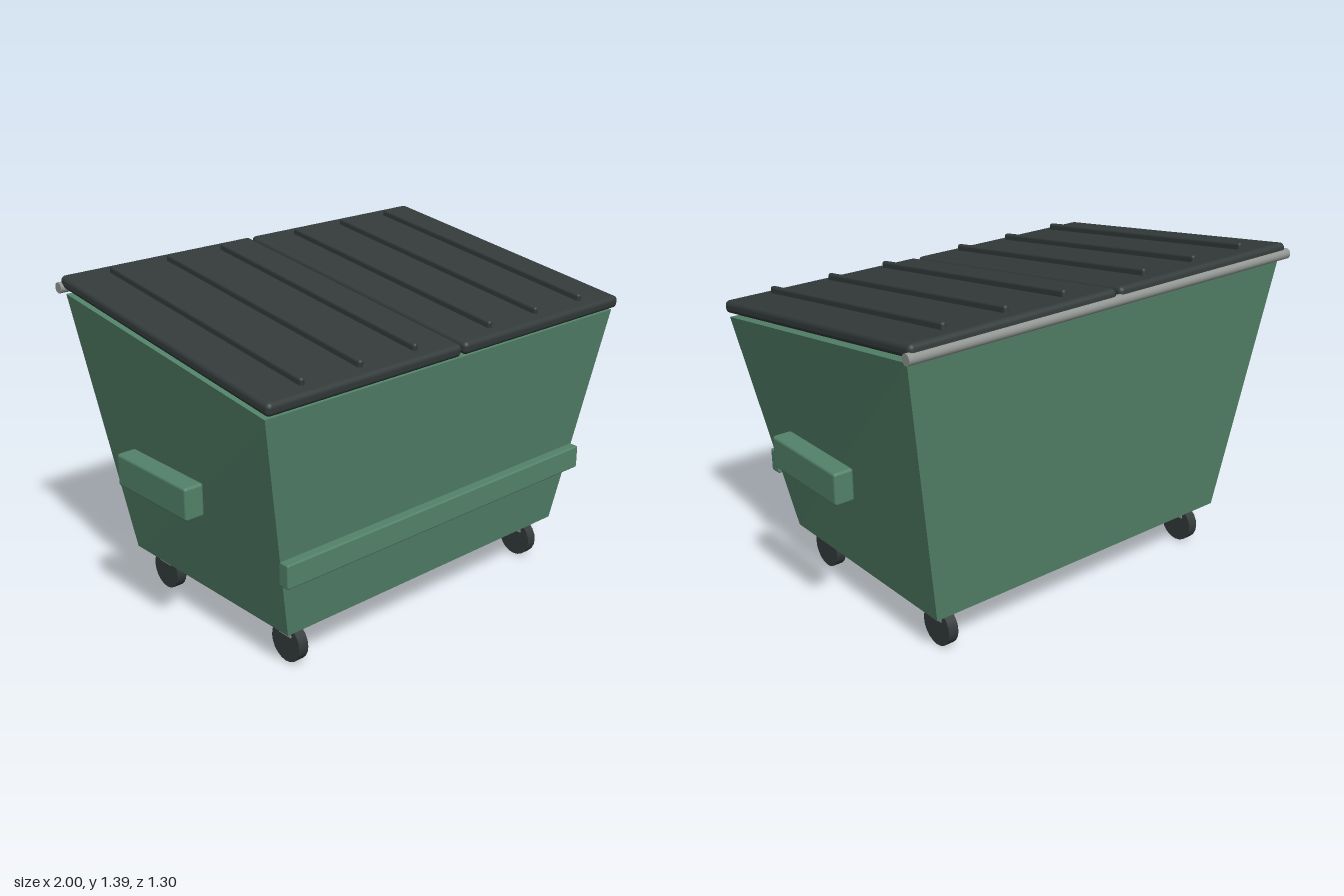
import * as THREE from 'three';
import { RoundedBoxGeometry } from 'three/addons/geometries/RoundedBoxGeometry.js';

const green = new THREE.MeshStandardMaterial({ color: 0x538269 });
green.name = 'green paint';
const black = new THREE.MeshStandardMaterial({ color: 0x343b3b });
black.name = 'black plastic';
const steel = new THREE.MeshStandardMaterial({ color: 0x929693 });
steel.name = 'grey steel';

function add(parent, name, geometry, material, x = 0, y = 0, z = 0) {
  const mesh = new THREE.Mesh(geometry, material);
  mesh.name = name;
  mesh.position.set(x, y, z);
  parent.add(mesh);
  return mesh;
}

// Rectangular ring of four corners, front edge first
function ring(x, zFront, yFront, zBack, yBack) {
  return [[-x, yFront, zFront], [x, yFront, zFront], [x, yBack, zBack], [-x, yBack, zBack]];
}

// Hollow tapered tub: outer wall, sloping rim, inner wall, floor
function tubGeometry() {
  const rings = [
    ring(0.755, 0.50, 0.18, -0.49, 0.18),
    ring(0.935, 0.62, 1.13, -0.605, 1.30),
    ring(0.86, 0.56, 1.138, -0.55, 1.292),
    ring(0.69, 0.435, 0.23, -0.43, 0.23),
  ];
  const points = [];
  const quad = (a, b, c, d) => points.push(...a, ...b, ...c, ...a, ...c, ...d);
  for (let r = 0; r < 3; r++) {
    for (let i = 0; i < 4; i++) {
      const j = (i + 1) % 4;
      quad(rings[r][i], rings[r][j], rings[r + 1][j], rings[r + 1][i]);
    }
  }
  quad(...rings[3]);
  quad(...rings[0].slice().reverse());
  const geometry = new THREE.BufferGeometry();
  geometry.setAttribute('position', new THREE.Float32BufferAttribute(points, 3));
  geometry.computeVertexNormals();
  return geometry;
}

export function createModel() {
  const model = new THREE.Group();
  model.name = 'dumpster';

  add(model, 'tub', tubGeometry(), green);
  add(model, 'frontBar', new RoundedBoxGeometry(1.64, 0.10, 0.055, 2, 0.008), green, 0, 0.48, 0.558);

  // Hinge rod along the back edge
  const rod = add(model, 'hingeRod', new THREE.CylinderGeometry(0.022, 0.022, 1.91, 16), steel, 0, 1.323, -0.628);
  rod.rotation.z = Math.PI / 2;

  const lidGeometry = new RoundedBoxGeometry(0.935, 0.052, 1.296, 3, 0.02);
  const ribGeometry = new RoundedBoxGeometry(0.024, 0.04, 1.175, 3, 0.011);
  const pocketGeometry = new RoundedBoxGeometry(0.085, 0.134, 0.445, 2, 0.012);
  const wheelGeometry = new THREE.CylinderGeometry(0.082, 0.082, 0.045, 20).rotateZ(Math.PI / 2);
  const bracketGeometry = new THREE.BoxGeometry(0.052, 0.07, 0.07);

  for (const side of [-1, 1]) {
    const label = side > 0 ? 'left' : 'right';

    // Sloping lid with three raised ribs
    const lid = new THREE.Group();
    lid.name = label + 'Lid';
    lid.position.set(side * 0.475, 1.257, 0.006);
    lid.rotation.x = 0.14;
    model.add(lid);
    add(lid, 'lidPanel', lidGeometry, black);
    for (const x of [-0.272, 0, 0.272]) add(lid, 'lidRib', ribGeometry, black, x, 0.033, 0.005);

    // Lifting pocket on the side
    add(model, label + 'LiftPocket', pocketGeometry, green, side * 0.9575, 0.698, 0.008);

    // Casters
    for (const z of [0.402, -0.39]) {
      const caster = new THREE.Group();
      caster.name = label + (z > 0 ? 'Front' : 'Back') + 'Caster';
      caster.position.set(side * 0.665, 0, z);
      model.add(caster);
      add(caster, 'wheel', wheelGeometry, black, 0, 0.082, 0);
      add(caster, 'bracket', bracketGeometry, steel, 0, 0.15, 0);
    }
  }
  return model;
}
